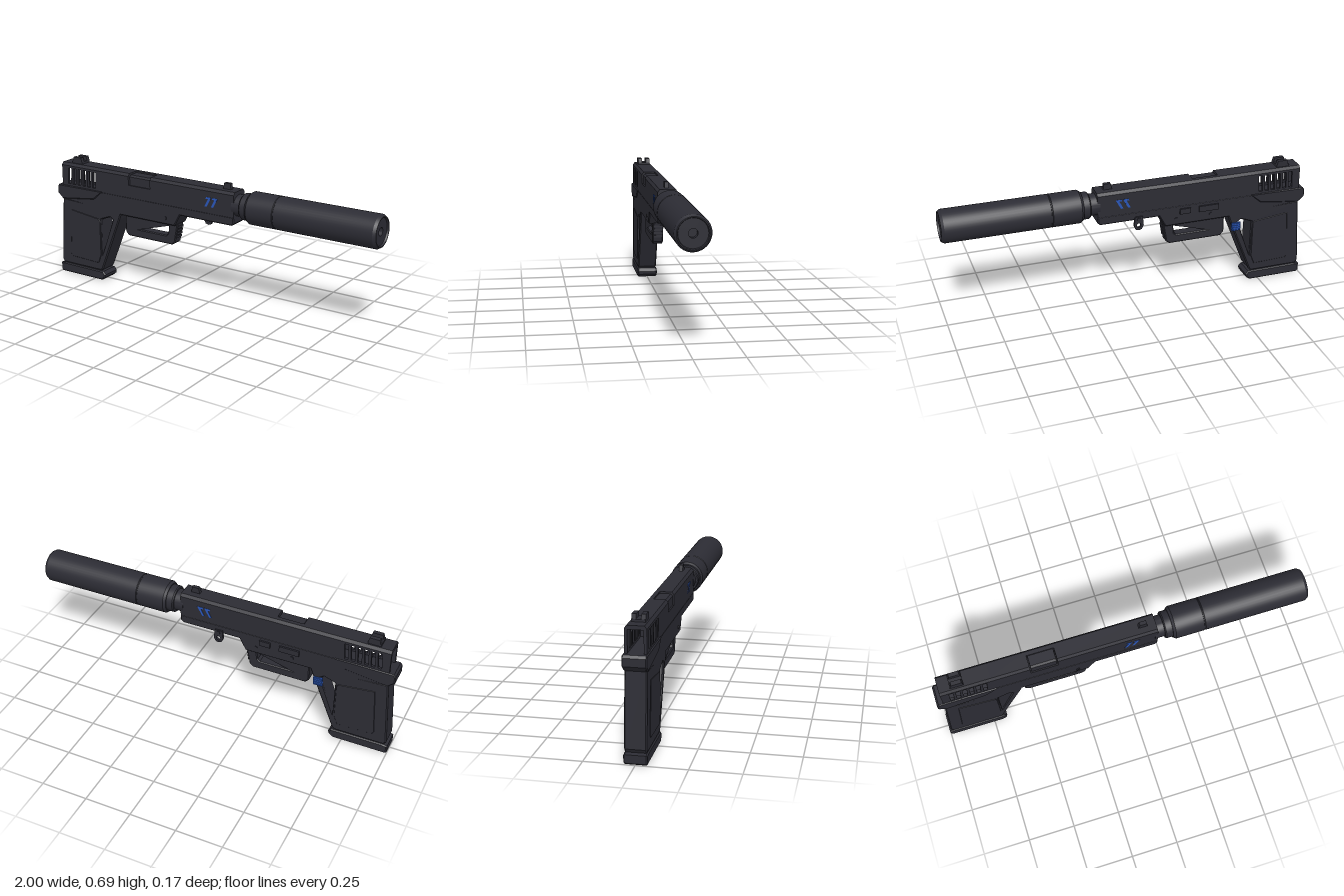
import * as THREE from 'three';
import { toCreasedNormals } from 'three/addons/utils/BufferGeometryUtils.js';

const black = new THREE.MeshStandardMaterial({ color: 0x2c2c34 });
black.name = 'matteBlack';
const blue = new THREE.MeshStandardMaterial({ color: 0x2a56b8 });
blue.name = 'accentBlue';

const toShape = (pts) => new THREE.Shape(pts.map(([x, y]) => new THREE.Vector2(x, y)));

export function createModel() {
  const root = new THREE.Group();
  root.name = 'pistolProp';

  const add = (name, geo, mat = black) => {
    const mesh = new THREE.Mesh(geo, mat);
    mesh.name = name;
    root.add(mesh);
    return mesh;
  };

  // Side outline [x, y] extruded between two z values, with bevelled rims
  const plate = (name, pts, z0, z1, bevel = 0, holes = [], mat = black) => {
    const shape = toShape(pts);
    holes.forEach((h) => shape.holes.push(toShape(h)));
    const geo = new THREE.ExtrudeGeometry(shape, {
      depth: z1 - z0 - 2 * bevel, bevelEnabled: bevel > 0, bevelSize: bevel,
      bevelThickness: bevel, bevelOffset: -bevel, bevelSegments: 1, curveSegments: 12,
    });
    geo.translate(0, 0, z0 + bevel);
    return add(name, geo, mat);
  };

  // Cross-section [z, y] swept along x
  const bar = (name, pts, x0, x1) => {
    const geo = new THREE.ExtrudeGeometry(toShape(pts.map(([z, y]) => [-z, y])), {
      depth: x1 - x0, bevelEnabled: false,
    });
    geo.rotateY(Math.PI / 2).translate(x0, 0, 0);
    return add(name, geo);
  };

  const box = (name, x0, x1, y0, y1, z0, z1, mat = black) => {
    const geo = new THREE.BoxGeometry(x1 - x0, y1 - y0, z1 - z0);
    geo.translate((x0 + x1) / 2, (y0 + y1) / 2, (z0 + z1) / 2);
    return add(name, geo, mat);
  };

  // Surface of revolution around the x axis, profile as [x, radius]
  const turned = (name, pts, y, segments = 40) => {
    const geo = new THREE.LatheGeometry(pts.map(([x, r]) => new THREE.Vector2(r, x)), segments);
    geo.rotateZ(-Math.PI / 2).translate(0, y, 0);
    return add(name, toCreasedNormals(geo, 0.5));
  };

  // Slide: solid front and middle, cut away at the ejection port
  const section = [[-0.053, 0.52], [0.053, 0.52], [0.053, 0.645], [0.042, 0.66], [-0.042, 0.66], [-0.053, 0.645]];
  const portSection = [[-0.053, 0.52], [0.053, 0.52], [0.053, 0.595], [-0.02, 0.595], [-0.02, 0.66], [-0.042, 0.66], [-0.053, 0.645]];
  bar('slideFront', section, -0.35, 0.185);
  bar('slidePort', portSection, -0.495, -0.35);
  bar('slideMiddle', section, -0.7, -0.495);
  bar('chamberBlock', [[-0.02, 0.59], [0.046, 0.59], [0.046, 0.642], [0.036, 0.652], [-0.02, 0.652]], -0.49, -0.355);

  // Hollow rear slide: roof and slotted walls, open at the back
  bar('slideRoof', [[-0.053, 0.64], [0.053, 0.64], [0.053, 0.645], [0.042, 0.66], [-0.042, 0.66], [-0.053, 0.645]], -0.965, -0.7);
  const slots = [];
  for (let i = 0; i < 6; i++) {
    const x = -0.924 + i * 0.035;
    slots.push([[x, 0.54], [x + 0.02, 0.54], [x + 0.026, 0.632], [x + 0.004, 0.632]]);
  }
  const wall = [[-0.965, 0.52], [-0.7, 0.52], [-0.7, 0.64], [-0.965, 0.64]];
  plate('slideWallLeft', wall, 0.038, 0.053, 0, slots);
  plate('slideWallRight', wall, -0.053, -0.038, 0, slots);

  // Sights
  box('rearSightBase', -0.905, -0.835, 0.655, 0.672, -0.034, 0.034);
  for (const s of [-1, 1]) {
    plate('rearSightPost', [[-0.9, 0.67], [-0.835, 0.67], [-0.842, 0.695], [-0.895, 0.695]], s * 0.023 - 0.011, s * 0.023 + 0.011);
  }
  plate('frontSight', [[0.092, 0.655], [0.142, 0.655], [0.137, 0.692], [0.1, 0.692]], -0.01, 0.01);

  // Frame with the rear overhang and the dust cover
  plate('frame', [[-0.99, 0.528], [-1, 0.515], [-1, 0.475], [-0.965, 0.443], [-0.57, 0.415], [-0.19, 0.415],
    [-0.155, 0.48], [0.172, 0.48], [0.185, 0.492], [0.185, 0.528]], -0.054, 0.054, 0.005);
  plate('rearFlange', [[-0.99, 0.528], [-1, 0.515], [-1, 0.475], [-0.965, 0.445], [-0.74, 0.475], [-0.68, 0.528]],
    -0.059, 0.059, 0.005);

  // Grip with a narrow opening behind the front strap
  plate('grip', [[-0.968, 0.45], [-0.992, 0.075], [-0.98, 0.056], [-0.705, 0.056], [-0.692, 0.07], [-0.565, 0.385], [-0.55, 0.43]],
    -0.054, 0.054, 0.006, [[[-0.692, 0.365], [-0.63, 0.388], [-0.612, 0.375], [-0.69, 0.155]]]);
  for (const s of [-1, 1]) {
    plate('gripPanel', [[-0.905, 0.388], [-0.71, 0.365], [-0.7, 0.35], [-0.7, 0.15], [-0.72, 0.1], [-0.91, 0.106], [-0.922, 0.12]],
      s * 0.052 - 0.004, s * 0.052 + 0.004, 0.002);
  }
  box('magazineNeck', -0.975, -0.71, 0.04, 0.06, -0.046, 0.046);
  plate('basePlate', [[-1, 0.05], [-1, 0.008], [-0.99, 0], [-0.7, 0], [-0.678, 0.018], [-0.675, 0.035], [-0.69, 0.053], [-0.97, 0.055]],
    -0.057, 0.057, 0.006);

  // Trigger guard, its ribbed nose and the trigger
  plate('triggerGuard', [[-0.54, 0.42], [-0.54, 0.315], [-0.52, 0.295], [-0.225, 0.295], [-0.205, 0.31], [-0.185, 0.42]],
    -0.029, 0.029, 0.005, [[[-0.513, 0.412], [-0.513, 0.352], [-0.5, 0.343], [-0.262, 0.343], [-0.25, 0.355], [-0.243, 0.412]]]);
  for (let i = 0; i < 4; i++) {
    const rib = box('guardRib', -0.01, 0.004, -0.006, 0.006, -0.026, 0.026);
    rib.position.set(-0.199 + i * 0.0035, 0.342 + i * 0.019, 0);
  }
  plate('trigger', [[-0.412, 0.425], [-0.385, 0.425], [-0.398, 0.388], [-0.428, 0.355], [-0.436, 0.364], [-0.414, 0.392]],
    -0.012, 0.012, 0.002);

  // Lanyard ring on the right side
  const tab = toShape([[-0.06, 0.5], [-0.065, 0.45], [-0.055, 0.428], [-0.038, 0.422], [-0.021, 0.428], [-0.012, 0.45], [-0.018, 0.5]]);
  tab.holes.push(new THREE.Path().absarc(-0.038, 0.45, 0.012, 0, Math.PI * 2, true));
  add('lanyardRing', new THREE.ExtrudeGeometry(tab, { depth: 0.014, bevelEnabled: false }).translate(0, 0, -0.062));

  // Controls and pins
  box('slideStop', -0.49, -0.38, 0.475, 0.508, -0.063, -0.05);
  box('takedownLever', -0.33, -0.27, 0.478, 0.508, -0.063, -0.05);
  const pin = (x, y, z) => {
    const geo = new THREE.CylinderGeometry(0.01, 0.01, 0.012, 16);
    geo.rotateX(Math.PI / 2).translate(x, y, z);
    add('pin', geo);
  };
  pin(-0.038, 0.485, -0.06);
  pin(-0.25, 0.45, -0.052);
  pin(-0.45, 0.45, -0.052);
  pin(-0.25, 0.45, 0.052);

  // Ridged magazine button
  box('magazineButton', -0.625, -0.575, 0.327, 0.375, -0.06, -0.05, blue);
  for (let i = 0; i < 4; i++) {
    box('buttonRidge', -0.623, -0.577, 0.329 + i * 0.012, 0.336 + i * 0.012, -0.064, -0.058, blue);
  }

  // Slanted accent stripes on both sides
  for (const s of [-1, 1]) {
    for (const x of [0.005, 0.045]) {
      plate('accentStripe', [[x, 0.56], [x + 0.014, 0.56], [x + 0.042, 0.612], [x + 0.01, 0.612], [x + 0.008, 0.602], [x + 0.022, 0.602]],
        s * 0.0535 - 0.001, s * 0.0535 + 0.001, 0, [], blue);
    }
  }

  // Muzzle collar and long cylinder with a recessed end cap
  turned('muzzleCollar', [[0.17, 0], [0.17, 0.058], [0.222, 0.058], [0.222, 0.067], [0.228, 0.072], [0.268, 0.072], [0.268, 0]], 0.582);
  turned('muzzleCylinder', [[0.262, 0], [0.262, 0.078], [0.275, 0.0875], [0.428, 0.0875], [0.43, 0.0855], [0.434, 0.0855],
    [0.436, 0.0875], [0.985, 0.0875], [1, 0.078], [1, 0.073], [0.99, 0.07], [0.99, 0.022], [0.965, 0.022], [0.965, 0]], 0.582);

  return root;
}
